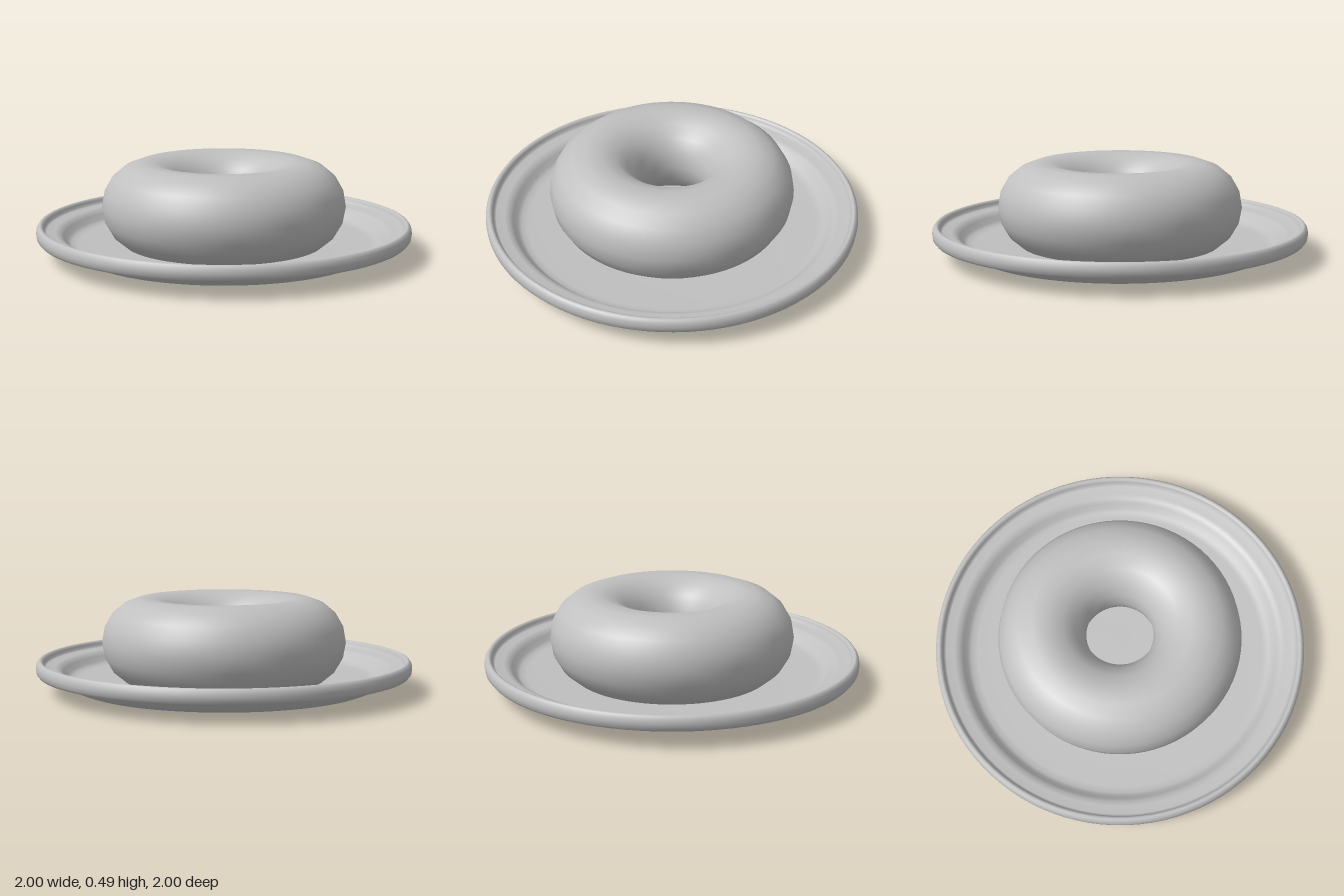
import * as THREE from 'three';

export function createModel() {
  const model = new THREE.Group();
  const grey = new THREE.MeshStandardMaterial({ color: 0xc0c0c0 });
  grey.name = 'plain grey';

  // Plate: one closed cross-section, from the centre underneath, round the rim, to the centre on top
  const section = [
    [0, 0], [0.3, 0.002], [0.6, 0.009], [0.72, 0.015], [0.79, 0.024], [0.83, 0.04],
    [0.855, 0.065], [0.875, 0.083], [0.9, 0.09],
    [0.965, 0.09], [0.985, 0.095], [0.997, 0.11], [1, 0.133], [0.997, 0.155], [0.987, 0.17],
    [0.977, 0.174], [0.967, 0.17], [0.961, 0.16], [0.957, 0.145], [0.945, 0.137],
    [0.9, 0.133], [0.875, 0.127], [0.855, 0.108], [0.835, 0.083], [0.815, 0.07], [0.78, 0.065],
    [0.6, 0.06], [0.3, 0.056], [0, 0.055],
  ].map(([r, y]) => new THREE.Vector2(r, y));
  const plate = new THREE.Mesh(new THREE.LatheGeometry(section, 96), grey);
  plate.name = 'plate';

  // Ring resting in the plate, its underside sunk into the floor
  const ring = new THREE.Mesh(new THREE.TorusGeometry(0.415, 0.235, 18, 72), grey);
  ring.name = 'doughnut';
  ring.rotation.x = -Math.PI / 2;
  ring.position.y = 0.261;

  model.add(plate, ring);
  return model;
}
